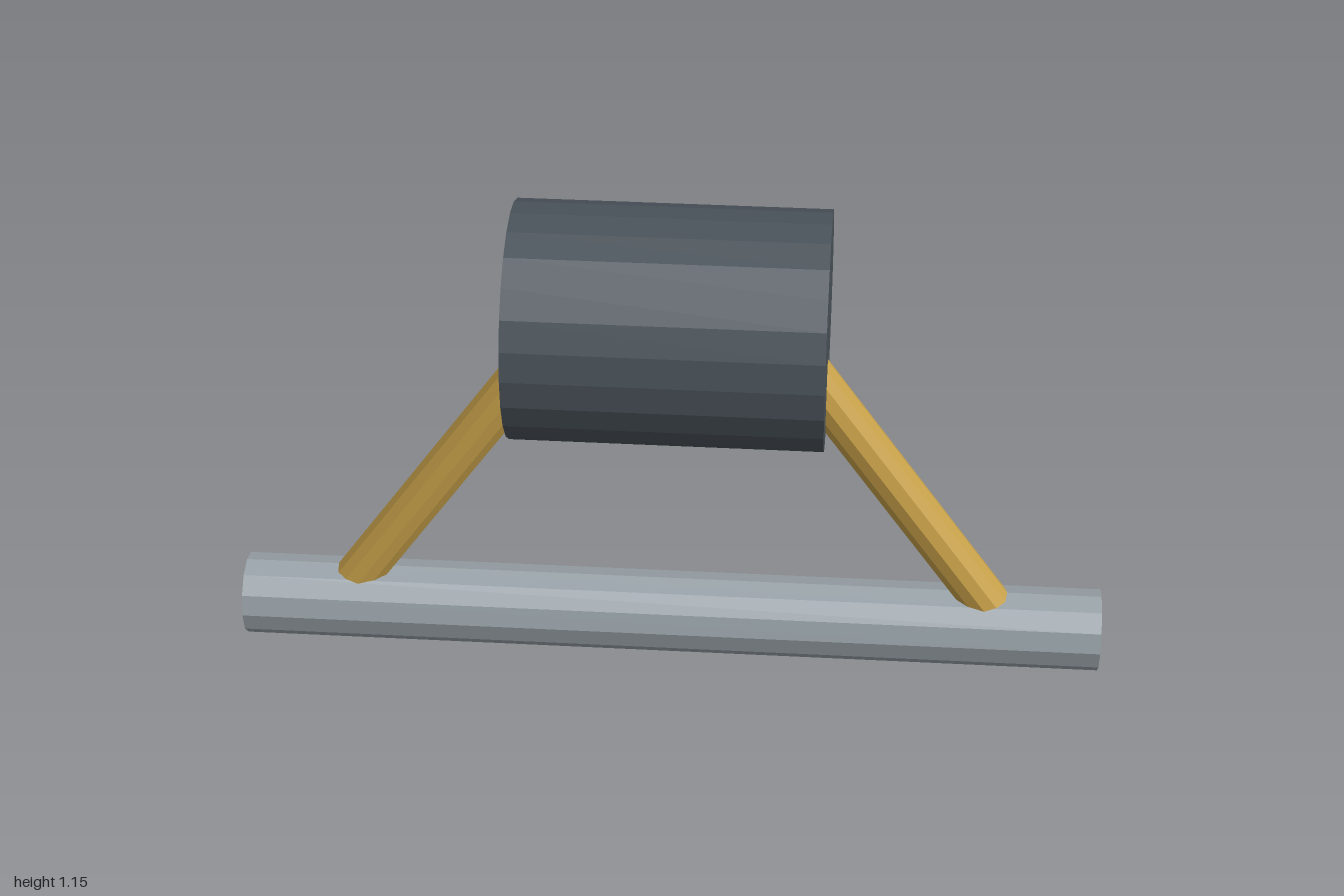
import * as THREE from 'three';

const material = (color) => new THREE.MeshStandardMaterial({ color, flatShading: true });

// Faceted rod running between two points
function rod(name, from, to, radius, sides, mat) {
  const axis = to.clone().sub(from);
  const mesh = new THREE.Mesh(new THREE.CylinderGeometry(radius, radius, axis.length(), sides), mat);
  mesh.name = name;
  mesh.position.copy(from).add(to).multiplyScalar(0.5);
  mesh.quaternion.setFromUnitVectors(new THREE.Vector3(0, 1, 0), axis.normalize());
  return mesh;
}

export function createModel() {
  const group = new THREE.Group();
  const v = (x, y) => new THREE.Vector3(x, y, 0);
  const steel = material(0x98a2a8);
  const dark = material(0x4a535a);
  const brass = material(0xc9a24a);

  // Long base bar and the drum above it, both lying along x
  group.add(rod('baseBar', v(-1, 0.095), v(1, 0.095), 0.095, 12, steel));
  group.add(rod('drum', v(-0.35, 0.879), v(0.35, 0.879), 0.268, 24, dark));

  // Slanted struts, sunk into the bar and the drum
  for (const side of [-1, 1]) {
    const name = side > 0 ? 'leftStrut' : 'rightStrut';
    group.add(rod(name, v(side * 0.78, 0.1), v(side * 0.28, 0.808), 0.0535, 12, brass));
  }
  return group;
}
